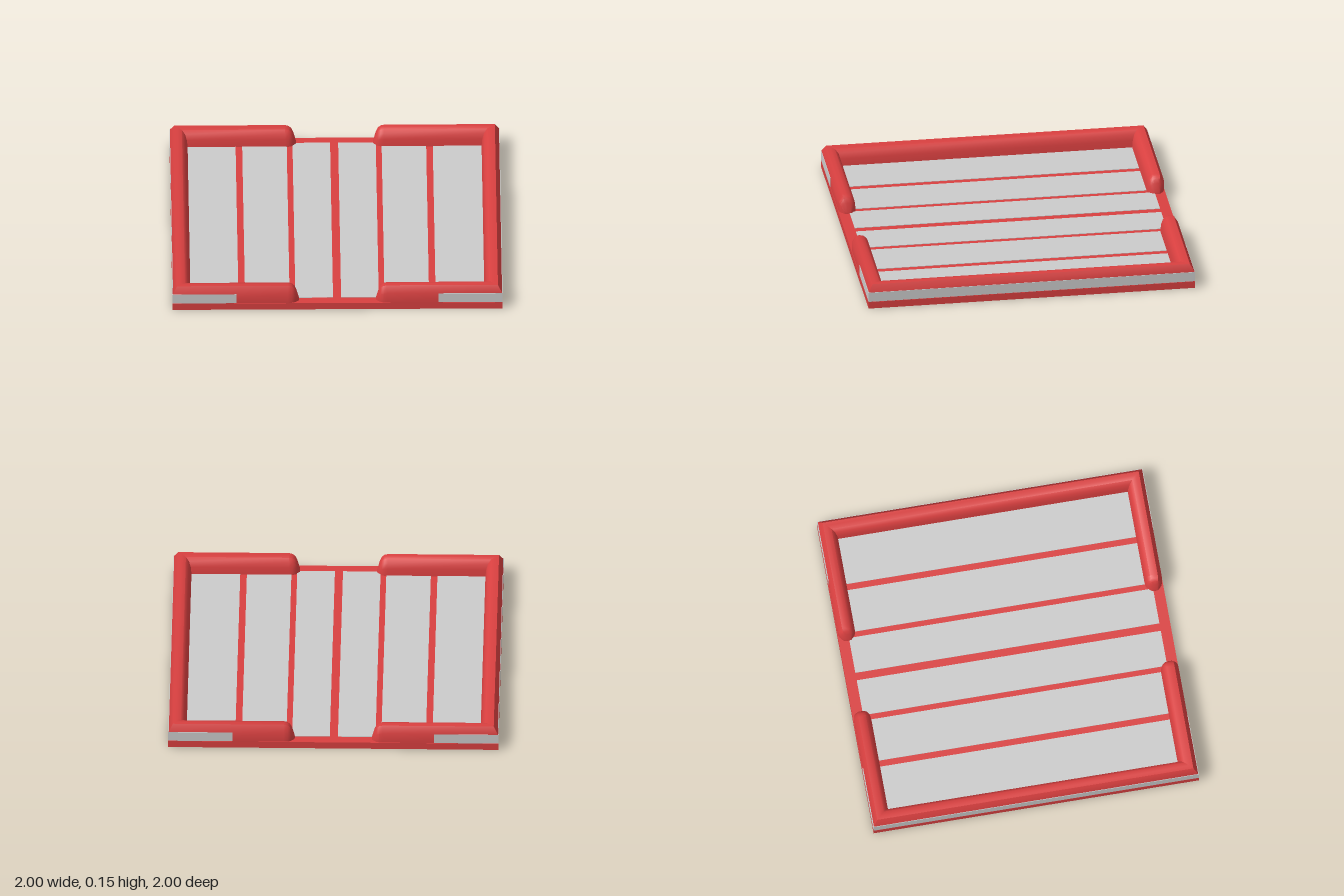
import * as THREE from 'three';
import { toCreasedNormals } from 'three/addons/utils/BufferGeometryUtils.js';

const red = new THREE.MeshStandardMaterial({ color: 0xd94040 });
const grey = new THREE.MeshStandardMaterial({ color: 0xcccccc });
const BASE_TOP = 0.043;

// Sweeps a profile of [inset, height] around the C-shaped left half of the edge.
// ends: [x, widthScale, heightScale] from the tip towards the full section.
function sweepHalfFrame(profile, ends, midInset) {
  const rings = [];
  const endRing = ([x, w, h], side) => profile.map(([d, y]) => [
    x, BASE_TOP + (y - BASE_TOP) * h, side * (1 - midInset - (d - midInset) * w)]);
  const corner = (side) => profile.map(([d, y]) => [-1 + d, y, side * (1 - d)]);
  ends.forEach((e) => rings.push(endRing(e, 1)));
  rings.push(corner(1), corner(-1));
  [...ends].reverse().forEach((e) => rings.push(endRing(e, -1)));

  const n = profile.length;
  const index = [];
  for (let i = 0; i < rings.length - 1; i++) {
    for (let j = 0; j < n - 1; j++) {
      const a = i * n + j, b = a + n, c = a + 1, d = b + 1;
      index.push(a, c, b, b, c, d);
    }
  }
  const geo = new THREE.BufferGeometry();
  geo.setAttribute('position', new THREE.Float32BufferAttribute(rings.flat(2), 3));
  geo.setIndex(index);
  return toCreasedNormals(geo, 0.65);
}

function add(parent, name, geo, material, x = 0, y = 0, z = 0) {
  const mesh = new THREE.Mesh(geo, material);
  mesh.name = name;
  mesh.position.set(x, y, z);
  parent.add(mesh);
  return mesh;
}

export function createModel() {
  const model = new THREE.Group();
  model.name = 'slattedTray';

  // Base slab
  add(model, 'base', new THREE.BoxGeometry(2, BASE_TOP, 2), red, 0, BASE_TOP / 2, 0);

  // Floor panels, with the base showing between them as thin dividers
  const panels = [[-0.92, -0.6], [-0.56, -0.29], [-0.255, -0.027],
    [0.022, 0.25], [0.285, 0.555], [0.595, 0.92]];
  for (const [x0, x1] of panels) {
    add(model, 'floorPanel', new THREE.BoxGeometry(x1 - x0, 0.02, 1.87), grey,
      (x0 + x1) / 2, BASE_TOP - 0.007, 0);
  }

  // Raised rim: bevelled outside, rounded inside, tapered rounded tips
  const rimProfile = [[0.003, 0.04], [0.003, 0.107], [0.028, 0.149], [0.05, 0.15],
    [0.075, 0.145], [0.094, 0.125], [0.105, 0.09], [0.11, 0.04]];
  const rimEnds = [[-0.233, 0, 0], [-0.235, 0.4, 0.1], [-0.25, 0.68, 0.6],
    [-0.262, 0.86, 0.83], [-0.278, 0.97, 0.95], [-0.3, 1, 1]];
  const rim = sweepHalfFrame(rimProfile, rimEnds, 0.055);

  // Inlaid band on the outer walls
  const bandProfile = [[0.02, 0.045], [0, 0.045], [0, 0.106], [0.02, 0.106]];
  const band = sweepHalfFrame(bandProfile, [[-0.612, 0, 1], [-0.612, 1, 1]], 0.02);

  for (const [side, turn] of [['right', 0], ['left', Math.PI]]) {
    add(model, side + 'Rim', rim, red).rotation.y = turn;
    add(model, side + 'Band', band, grey).rotation.y = turn;
  }
  return model;
}
